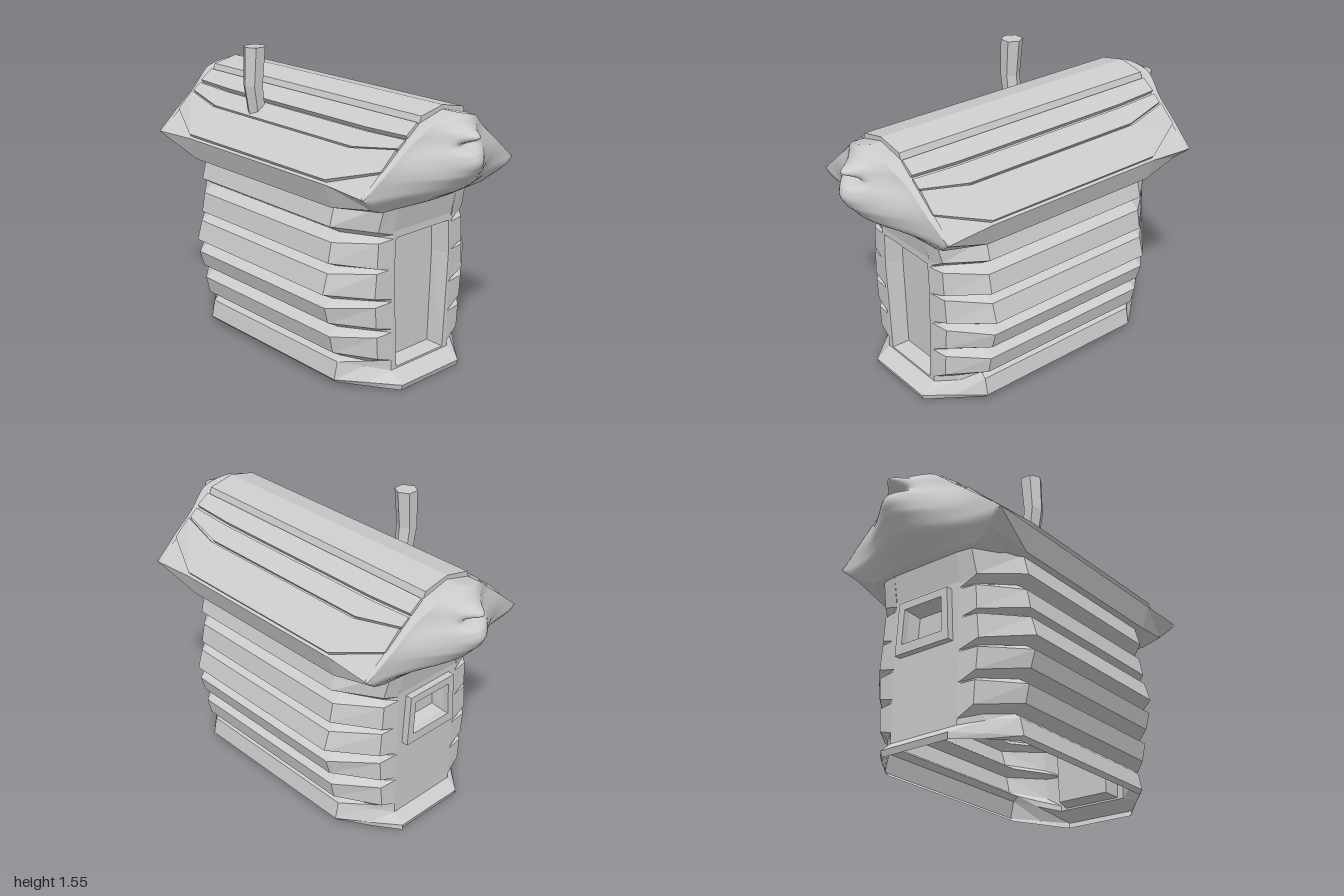
import * as THREE from 'three';

const flat = new THREE.MeshStandardMaterial({ color: 0xcccccc, flatShading: true, side: THREE.DoubleSide });
const smooth = new THREE.MeshStandardMaterial({ color: 0xcccccc, side: THREE.DoubleSide });
const { lerp, smoothstep } = THREE.MathUtils;

// Skin between cross-sections (arrays of [x, y, z]); optional ring closing and end caps
function loft(sections, { closed = true, caps = false, soft = false } = {}) {
  const n = sections[0].length, idx = [];
  for (let i = 0; i < sections.length - 1; i++) {
    for (let j = 0; j < (closed ? n : n - 1); j++) {
      const k = (j + 1) % n, a = i * n + j, b = i * n + k;
      idx.push(a, b, b + n, a, b + n, a + n);
    }
  }
  if (caps) {
    const e = (sections.length - 1) * n;
    for (let j = 1; j < n - 1; j++) idx.push(0, j + 1, j, e, e + j, e + j + 1);
  }
  let g = new THREE.BufferGeometry();
  g.setAttribute('position', new THREE.Float32BufferAttribute(sections.flat(2), 3));
  g.setIndex(idx);
  if (!soft) g = g.toNonIndexed();
  g.computeVertexNormals();
  return g;
}

function add(group, name, geometry, material = flat) {
  const m = new THREE.Mesh(geometry, material);
  m.name = name;
  group.add(m);
  return m;
}

const mirror = (pts) => pts.map(([x, ...r]) => [-x, ...r]).reverse();
const full = (half) => [...half, ...mirror(half)];
const atZ = (pts, z) => pts.map(([x, y]) => [x, y, z]);
const toShape = (pts) => new THREE.Shape(pts.map(([x, y]) => new THREE.Vector2(x, y)));
// Depth of the gable rim, tucked in towards the wall at the bottom
const rimZ = (y) => 0.725 + 0.06 * smoothstep(y, 0.93, 1.04);

// One end wall, built facing +z: panel with an opening, and its recess
function endWall(name, z, opening, inner, depth) {
  const g = new THREE.Group();
  g.name = name;
  const panel = toShape([[-0.2, 0.08], [0.2, 0.08], [0.2, 0.8], [-0.2, 0.8]]);
  panel.holes.push(toShape(opening));
  add(g, name + 'Panel', new THREE.ShapeGeometry(panel)).position.z = z;
  const strip = (rows) => loft(rows.map(([y, zz]) => [[-0.2, y, zz], [0.2, y, zz]]), { closed: false });
  add(g, name + 'Base', strip([[0, 0.74], [0.03, 0.75], [0.08, z]]));
  add(g, name + 'Top', strip([[0.8, z], [0.95, z + 0.03]]));
  add(g, name + 'Reveal', loft([atZ(opening, z), atZ(inner, z - depth)]));
  add(g, name + 'Recess', new THREE.ShapeGeometry(toShape(inner))).position.z = z - depth;
  return g;
}

// Carved gable end: a bulging relief with lip, mouth gap and snout
function carvedGable() {
  const half = [[0, 1.375], [0.15, 1.335], [0.31, 1.21], [0.51, 1.05], [0.43, 0.98], [0.34, 0.94], [0, 0.94]];
  const rim = [];
  for (const s of [-1, 1]) {
    const pts = s < 0 ? half : [...half].reverse();
    for (let i = 0; i < pts.length - 1; i++) {
      for (let k = 0; k < 6; k++) {
        const t = k / 6;
        rim.push([s * lerp(pts[i][0], pts[i + 1][0], t), lerp(pts[i][1], pts[i + 1][1], t)]);
      }
    }
  }
  const profile = [[0.94, 0.15], [0.96, 0.25], [1, 0.46], [1.1, 0.82], [1.2, 0.86], [1.3, 0.68], [1.34, 0.5], [1.376, 0.2]];
  const bulge = (y) => {
    const i = Math.max(1, profile.findIndex(([py]) => y <= py));
    const [y0, v0] = profile[i - 1], [y1, v1] = profile[i];
    return lerp(v0, v1, Math.max(0, (y - y0) / (y1 - y0)));
  };
  const bump = (x, y, cx, cy, wx, wy) => Math.exp(-(((x - cx) / wx) ** 2) - ((y - cy) / wy) ** 2);
  const depth = (x, y) => bulge(y) * Math.exp(-((x / (0.25 - 0.07 * smoothstep(y, 1.12, 1.28))) ** 2))
    + 0.15 * bump(x, y, 0, 1.16, 0.09, 0.05)
    - 0.24 * bump(x, y, 0, 1.238, 0.06, 0.018)
    + 0.27 * bump(x, y, 0, 1.285, 0.05, 0.025);
  // Collar back into the roof, then rings shrinking to the middle
  const rings = [rim.map(([x, y]) => [x, y, rimZ(y) - 0.02])];
  for (let i = 0; i <= 24; i++) {
    const t = Math.max(1 - i / 24, 0.001);
    rings.push(rim.map(([x, y]) => {
      const px = x * t, py = 1.2 + (y - 1.2) * t;
      return [px, py, rimZ(py) - 0.005 + 0.22 * Math.min(1, depth(px, py))];
    }));
  }
  return loft(rings, { soft: true });
}

export function createModel() {
  const model = new THREE.Group();
  model.name = 'cabin';

  // Log walls: each row is [y, half width, y where it meets the end panel, end bulge, setback of the log end]
  const rows = [[0.02, 0.4, 0, 0.07, 0.12], [0.04, 0.42, 0.03, 0.08, 0.125], [0.13, 0.4, 0.08, 0, 0.085], [0.155, 0.37, 0.11, 0, 0.07]];
  const logs = [[0.19, 0.43, 0.28, 0.45], [0.355, 0.46, 0.44, 0.485], [0.51, 0.495, 0.61, 0.465],
    [0.66, 0.46, 0.76, 0.44], [0.84, 0.45, 0.95, 0.42]];
  logs.forEach(([y0, s0, y1, s1], i) => {
    const top = i === 4;
    rows.push([y0, s0, y0 - 0.055, 0, 0.012], [y1, s1, top ? 0.95 : y1 - 0.005, top ? 0.03 : 0, 0.012]);
    if (!top) rows.push([(y1 + logs[i + 1][0]) / 2, Math.min(s1, logs[i + 1][1]) - 0.055, y1 + 0.003, 0, 0.04]);
  });
  const wall = rows.map(([y, s, ye, out, back], i) => {
    const mx = 0.2 + (s - 0.2) * (i < 4 ? 0.5 : 0.36);
    const my = (y + ye) / 2, zf = 0.67 + out, zb = 0.69 + Math.min(out, 0.06);
    return [[0.2, ye, zf], [mx, my, zf - back], [s, y, 0.5], [s, y, -0.49], [mx, my, -zb + back], [0.2, ye, -zb]];
  });
  add(model, 'leftLogWall', loft(wall, { closed: false }));
  add(model, 'rightLogWall', loft(wall.map(mirror), { closed: false }));

  // Front with recessed doorway
  const door = [[0.165, 0.09], [0.19, 0.59], [0.182, 0.765]];
  const doorIn = [[0.15, 0.1], [0.165, 0.59], [0.16, 0.745]];
  model.add(endWall('doorway', 0.67, full(door), full(doorIn), 0.09));

  // Back with framed window
  const hole = full([[0.125, 0.55], [0.115, 0.73]]);
  const back = endWall('window', 0.69, hole, full([[0.11, 0.57], [0.1, 0.715]]), 0.06);
  const frame = toShape(full([[0.165, 0.5], [0.15, 0.77]]));
  frame.holes.push(toShape(hole));
  add(back, 'windowFrame', new THREE.ExtrudeGeometry(frame, { depth: 0.035, bevelEnabled: false })).position.z = 0.69;
  back.rotation.y = Math.PI;
  model.add(back);

  // Roof shell with pointed, flared corners
  const mid = [[0.36, 0.94], [0.46, 0.942], [0.5, 1.06], [0.34, 1.175], [0.16, 1.32]];
  const end = [[0.34, 0.94], [0.43, 0.98], [0.51, 1.05], [0.3, 1.2], [0.15, 1.33]];
  const across = (h) => [...h, [0, 1.36], ...mirror(h)];
  const flare = (s) => across(end).map(([x, y]) => [x, y, s * rimZ(y)]);
  add(model, 'roofShell', loft([flare(-1), atZ(across(mid), -0.52), atZ(across(mid), 0.52), flare(1)]));

  // Roof planks
  const ridge = [[0.155, 1.325], [0.14, 1.365], [0, 1.395], [-0.14, 1.365], [-0.155, 1.325]];
  add(model, 'ridgePlank', loft([atZ(ridge, -0.77), atZ(ridge, 0.77)], { caps: true }));
  const slab = ([ax, ay], [bx, by], t = 0.035) => {
    const l = Math.hypot(bx - ax, by - ay), nx = (ay - by) / l * t, ny = (bx - ax) / l * t;
    return [[bx, by], [ax, ay], [ax - nx, ay - ny], [bx - nx, by - ny]];
  };
  const planks = {
    UpperPlank: [slab([0.165, 1.34], [0.245, 1.285]), slab([0.165, 1.34], [0.235, 1.29])],
    MiddlePlank: [slab([0.25, 1.268], [0.332, 1.208]), slab([0.243, 1.275], [0.288, 1.242])],
    EavePlank: [slab([0.345, 1.205], [0.5, 1.085]), slab([0.3, 1.24], [0.39, 1.155])],
  };
  for (const [name, [m, e]] of Object.entries(planks)) {
    const s = [atZ(e, -0.77), atZ(m, -0.52), atZ(m, 0.52), atZ(e, 0.77)];
    add(model, 'left' + name, loft(s, { caps: true }));
    add(model, 'right' + name, loft(s.map(mirror), { caps: true }));
  }

  // Carved gable ends
  const gable = carvedGable();
  add(model, 'frontCarvedGable', gable, smooth);
  add(model, 'backCarvedGable', gable, smooth).rotation.y = Math.PI;

  // Bent six-sided stovepipe
  const pipe = [[-0.27, 1.16, 0.045], [-0.297, 1.36, 0.052], [-0.283, 1.555, 0.058]].map(([cx, y, r]) =>
    Array.from({ length: 6 }, (_, i) => {
      const a = i * Math.PI / 3;
      return [cx + r * Math.cos(a), y, -0.24 - r * Math.sin(a)];
    }));
  add(model, 'stovepipe', loft(pipe, { caps: true }));

  return model;
}
